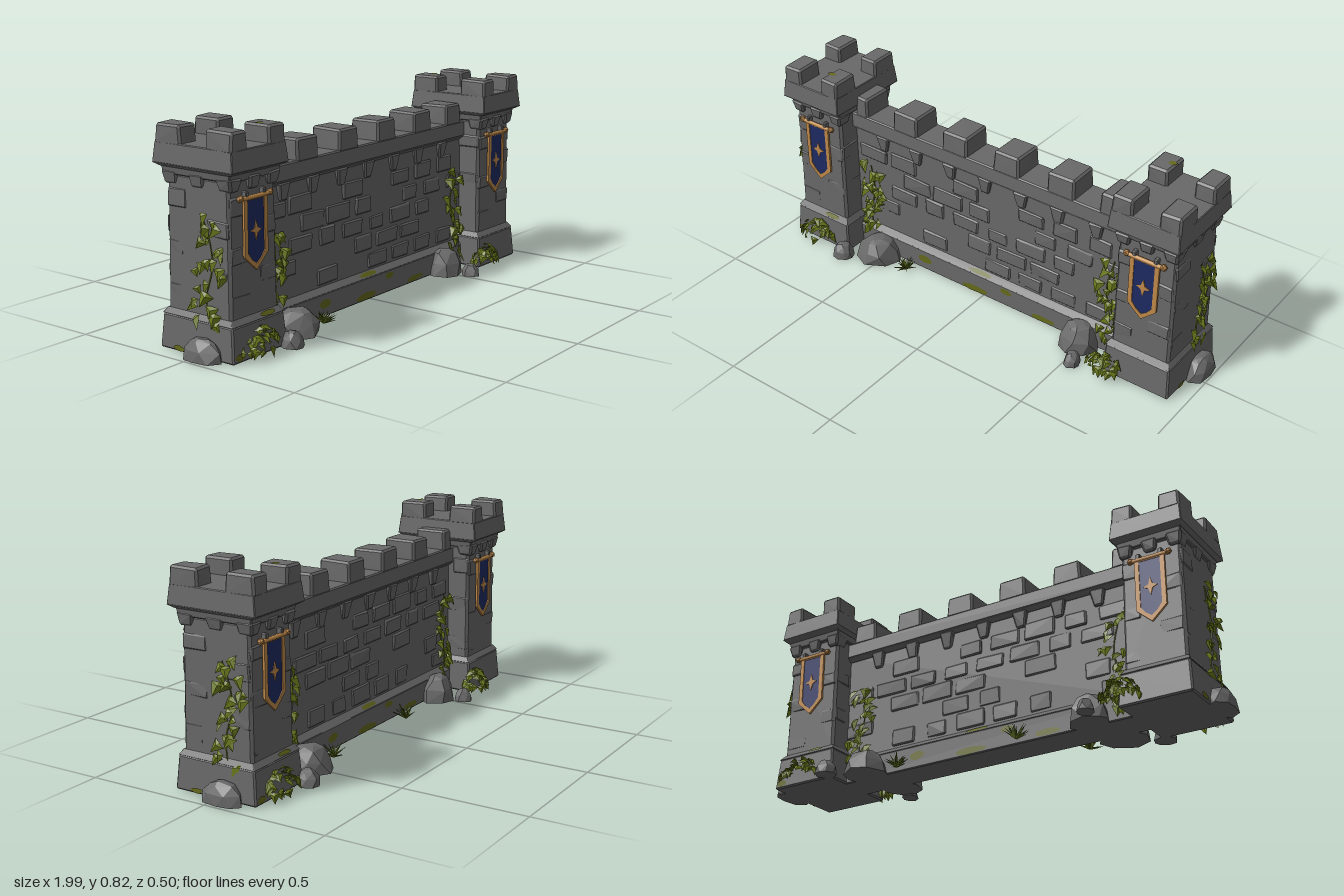
import * as THREE from 'three';
import { mergeGeometries } from 'three/addons/utils/BufferGeometryUtils.js';
import { ConvexGeometry } from 'three/addons/geometries/ConvexGeometry.js';

const V = (x, y, z) => new THREE.Vector3(x, y, z);

export function createModel() {
  let seed = 7;
  const rnd = (a = 0, b = 1) => {
    seed = (seed * 16807) % 2147483647;
    return a + (b - a) * (seed / 2147483647);
  };
  const paint = (name, color, side = THREE.FrontSide) => {
    const m = new THREE.MeshStandardMaterial({ color, side });
    m.name = name;
    return m;
  };
  const stone = paint('stone grey', 0x696969);
  const ivyGreen = paint('ivy green', 0x6b7a1c, THREE.DoubleSide);
  const grassGreen = paint('grass green', 0x56661a, THREE.DoubleSide);
  const mossGreen = paint('moss green', 0x666a1c, THREE.DoubleSide);
  const navy = paint('banner navy', 0x1f2b63);
  const gold = paint('banner gold', 0xc08a4a);

  const add = (parent, name, geo, mat, x = 0, y = 0, z = 0) => {
    const m = new THREE.Mesh(geo, mat);
    m.name = name;
    m.position.set(x, y, z);
    parent.add(m);
    return m;
  };

  // Chiselled stone: bevelled box standing on y = 0, with top size (tw, td) and slight wobble
  const block = (w, h, d, { tw = w, td = d, bevel = 0.008, wobble = 0 } = {}) => {
    const pts = [];
    for (const sx of [-1, 1]) for (const sz of [-1, 1]) for (const top of [0, 1]) {
      const x = sx * (top ? tw : w) / 2, z = sz * (top ? td : d) / 2;
      const j = () => rnd(-wobble, wobble);
      const y = top ? h + j() : 0, dy = top ? -bevel : bevel, jx = j(), jz = j();
      pts.push(V(x - sx * bevel + jx, y, z - sz * bevel + jz),
        V(x + jx, y + dy, z - sz * bevel + jz),
        V(x - sx * bevel + jx, y + dy, z + jz));
    }
    return new ConvexGeometry(pts);
  };

  // Faceted boulder, flat on the ground
  const rock = (rx, h, rz) => {
    const pts = [];
    for (const [y, s, n] of [[0, 1, 8], [0.5, 0.9, 7], [0.88, 0.6, 6], [1, 0.35, 4]])
      for (let i = 0; i < n; i++) {
        const a = (i + rnd(-0.25, 0.25)) / n * Math.PI * 2, k = s * rnd(0.88, 1.04);
        pts.push(V(Math.cos(a) * rx * k, y ? y * h * rnd(0.94, 1.02) : 0, Math.sin(a) * rz * k));
      }
    return new ConvexGeometry(pts);
  };

  // Folded leaf hanging from its stem, facing +z
  const leaf = () => {
    const A = [0, 0.4, 0], L = [-0.5, 0.3, -0.12], R = [0.5, 0.3, -0.12], T = [0, -0.65, 0], C = [0, 0.1, 0.16];
    const g = new THREE.BufferGeometry();
    g.setAttribute('position', new THREE.Float32BufferAttribute([A, L, C, L, T, C, T, R, C, R, A, C].flat(), 3));
    g.computeVertexNormals();
    return g;
  };
  const placed = (geo, x, y, z, rx, ry, rz, sx, sy = sx) => geo.applyMatrix4(new THREE.Matrix4().compose(
    V(x, y, z), new THREE.Quaternion().setFromEuler(new THREE.Euler(rx, ry, rz, 'YXZ')), V(sx, sy, sx)));

  // Climbing ivy in a local frame: wall plane z = 0, leaves spread along a stem
  const ivy = (parent, name, stem, count, spread) => {
    const g = new THREE.Group();
    g.name = name;
    const curve = new THREE.CatmullRomCurve3(stem.map(([x, y]) => V(x, y, 0.004)));
    const leaves = [];
    for (let i = 0; i < count; i++) {
      const p = curve.getPoint((i + rnd()) / count);
      leaves.push(placed(leaf(), p.x + rnd(-spread, spread), Math.max(0.04, p.y + rnd(-0.01, 0.02)), rnd(0.01, 0.025),
        rnd(-0.6, 0), rnd(-0.6, 0.6), rnd(-0.7, 0.7), rnd(0.032, 0.056)));
    }
    add(g, 'ivyLeaves', mergeGeometries(leaves), ivyGreen);
    add(g, 'ivyStem', new THREE.TubeGeometry(curve, 14, 0.003, 4), ivyGreen);
    parent.add(g);
    return g;
  };

  // Leafy mound at a tower foot
  const bush = (parent, x, z, rx, h, rz) => {
    const leaves = [];
    for (let i = 0; i < 38; i++) {
      const a = rnd(0, Math.PI * 2), e = rnd(0.1, 1.4), c = Math.cos(e);
      leaves.push(placed(leaf(), Math.sin(a) * c * rx, 0.02 + Math.sin(e) * h * rnd(0.4, 0.9), Math.cos(a) * c * rz,
        -e * 0.8, a + rnd(-0.5, 0.5), rnd(-0.6, 0.6), rnd(0.026, 0.045)));
    }
    add(parent, 'bush', mergeGeometries(leaves), ivyGreen, x, 0, z);
  };

  // Tuft of bent blades
  const grass = (parent, x, z) => {
    const blades = [];
    for (let i = 0; i < 20; i++) {
      const a = i * 2.4, tilt = rnd(0.4, 1.3), len = rnd(0.045, 0.07);
      const b = new THREE.ConeGeometry(0.006, len, 3).toNonIndexed().translate(0, len / 2, 0);
      blades.push(placed(b, 0, 0.003, 0, tilt, a, 0, 1));
    }
    const g = mergeGeometries(blades);
    g.computeVertexNormals();
    add(parent, 'grassTuft', g, grassGreen, x, 0, z);
  };

  // Thin ragged moss patch facing +z
  const moss = (parent, x, y, z, w, h) => {
    const pts = [];
    for (let i = 0; i < 10; i++) {
      const a = i / 10 * Math.PI * 2, k = rnd(0.7, 1);
      pts.push(new THREE.Vector2(Math.cos(a) * w / 2 * k, Math.sin(a) * h / 2 * k));
    }
    return add(parent, 'mossPatch', new THREE.ShapeGeometry(new THREE.Shape(pts)), mossGreen, x, y, z);
  };

  // Swallow-pointed banner outline
  const pennant = (w, top, mid, tip) => new THREE.Shape([[-w, top], [-w, mid], [-w * 0.55, mid - 0.025], [0, tip],
    [w * 0.55, mid - 0.025], [w, mid], [w, top]].map(p => new THREE.Vector2(...p)));
  const plate = (shape, depth) => new THREE.ExtrudeGeometry(shape, { depth, bevelEnabled: false });

  const banner = (parent, side) => {
    const g = new THREE.Group();
    g.name = 'banner';
    const rod = add(g, 'bannerRod', new THREE.CylinderGeometry(0.008, 0.008, 0.15, 8), gold, 0, 0.572, 0.012);
    rod.rotation.z = Math.PI / 2;
    for (const s of [-1, 1]) {
      add(g, 'rodKnob', new THREE.IcosahedronGeometry(0.014, 0), gold, s * 0.077, 0.574, 0.012);
      add(g, 'rodBracket', block(0.016, 0.025, 0.022, { bevel: 0.003 }), stone, s * 0.045, 0.572, 0.006);
    }
    const frame = pennant(0.061, 0.566, 0.365, 0.31);
    frame.holes.push(new THREE.Path(pennant(0.043, 0.57 - 0.008, 0.375, 0.333).getPoints().reverse()));
    add(g, 'bannerCloth', plate(pennant(0.058, 0.564, 0.367, 0.315), 0.006), navy, 0, 0, 0.006);
    add(g, 'bannerTrim', plate(frame, 0.009), gold, 0, 0, 0.006);
    // Four-pointed emblem
    const star = new THREE.Shape();
    for (let i = 0; i < 8; i++) {
      const a = i * Math.PI / 4, r = i % 2 ? 0.012 : (i % 4 ? 0.036 : 0.028);
      star[i ? 'lineTo' : 'moveTo'](Math.cos(a) * r, Math.sin(a) * r);
    }
    add(g, 'bannerEmblem', plate(star, 0.003), gold, 0, 0.452, 0.012);
    g.position.z = side * 0.147;
    g.rotation.y = side > 0 ? 0 : Math.PI;
    parent.add(g);
  };

  const tower = (parent, x) => {
    const g = new THREE.Group();
    g.name = 'tower';
    g.position.x = x;
    add(g, 'towerFoot', block(0.292, 0.13, 0.352, { tw: 0.276, td: 0.332, bevel: 0.006 }), stone);
    add(g, 'towerFootSlope', block(0.276, 0.022, 0.332, { tw: 0.254, td: 0.304, bevel: 0.002 }), stone, 0, 0.128);
    add(g, 'towerShaft', block(0.25, 0.5, 0.3, { tw: 0.24, td: 0.288, bevel: 0.01 }), stone, 0, 0.14);
    add(g, 'towerCornice', block(0.258, 0.05, 0.315, { tw: 0.272, td: 0.332, bevel: 0.004 }), stone, 0, 0.635);
    // Corbels at the corners and mid-sides
    for (const [cx, cz] of [[1, 1], [1, -1], [-1, 1], [-1, -1], [0, 1], [0, -1], [1, 0], [-1, 0]])
      add(g, 'towerCorbel', block(0.05, 0.05, 0.06, { tw: 0.064, td: 0.074, wobble: 0.002 }), stone, cx * 0.1, 0.6, cz * 0.127);
    add(g, 'battlementSkirt', block(0.272, 0.014, 0.334, { tw: 0.296, td: 0.376, bevel: 0.002 }), stone, 0, 0.662);
    add(g, 'battlement', block(0.296, 0.076, 0.376, { tw: 0.284, td: 0.36, bevel: 0.003 }), stone, 0, 0.673);
    for (const sx of [-1, 1]) for (const sz of [-1, 1])
      add(g, 'towerMerlon', block(0.088, 0.075, 0.122, { tw: 0.084, td: 0.118, wobble: 0.002 }), stone, sx * 0.098, 0.738, sz * 0.119);
    // Raised stones on the shaft
    for (let i = 0; i < 5; i++) for (const s of [-1, 1]) {
      const y = 0.17 + i * 0.085, h = rnd(0.05, 0.07), w = rnd(0.06, 0.1);
      add(g, 'shaftStone', block(w, h, 0.012, { bevel: 0.005, wobble: 0.003 }), stone,
        (i % 2 ? 1 : -1) * s * (0.118 - w / 2), y, s * 0.144);
      add(g, 'shaftStone', block(0.012, h, w, { bevel: 0.005, wobble: 0.003 }), stone,
        s * 0.118, y + 0.01, (i % 2 ? 1 : -1) * (0.14 - w / 2));
    }
    banner(g, 1);
    banner(g, -1);
    parent.add(g);
    return g;
  };

  // Everything around one end of the wall; the other end is the same turned half round
  const wallEnd = () => {
    const g = new THREE.Group();
    g.name = 'wallEnd';
    tower(g, -0.79);
    for (const [x, z, rx, h, rz] of [[-0.52, 0.11, 0.1, 0.095, 0.1], [-0.65, 0.2, 0.045, 0.06, 0.047],
      [-0.49, -0.1, 0.085, 0.11, 0.075], [-0.53, -0.205, 0.035, 0.05, 0.04], [-0.95, 0.045, 0.052, 0.08, 0.09]])
      add(g, 'boulder', rock(rx, h, rz), stone, x, 0, z);
    bush(g, -0.8, 0.19, 0.095, 0.1, 0.045);
    bush(g, -0.66, -0.195, 0.08, 0.1, 0.05);
    const outer = ivy(g, 'towerIvy', [[0.05, 0.1], [0.04, 0.22], [0.07, 0.33], [0.06, 0.42], [0.03, 0.5]], 26, 0.06);
    outer.position.set(-0.914, 0, 0);
    outer.rotation.y = -Math.PI / 2;
    ivy(g, 'wallIvy', [[-0.59, 0.08], [-0.6, 0.18], [-0.575, 0.28], [-0.59, 0.4]], 28, 0.05).position.z = 0.058;
    const rear = ivy(g, 'wallIvy', [[0.6, 0.03], [0.62, 0.15], [0.58, 0.27], [0.61, 0.43]], 28, 0.05);
    rear.position.z = -0.058;
    rear.rotation.y = Math.PI;
    moss(g, -0.74, 0.142, 0.163, 0.09, 0.022).rotation.x = -0.57;
    moss(g, -0.9, 0.02, 0.177, 0.06, 0.03);
    const sideMoss = moss(g, -0.939, 0.014, -0.08, 0.06, 0.024);
    sideMoss.rotation.y = -Math.PI / 2;
    const topMoss = moss(g, -0.72, 0.815, 0.12, 0.04, 0.03);
    topMoss.rotation.x = -Math.PI / 2;
    return g;
  };

  const model = new THREE.Group();
  model.name = 'castleWall';
  model.add(wallEnd());
  const far = wallEnd();
  far.rotation.y = Math.PI;
  model.add(far);

  // Curtain wall
  add(model, 'wallCore', block(1.36, 0.5, 0.108, { td: 0.1, bevel: 0.004 }), stone, 0, 0.08);
  add(model, 'wallPlinth', block(1.36, 0.092, 0.15, { bevel: 0.004 }), stone);
  add(model, 'wallPlinthSlope', block(1.36, 0.024, 0.15, { td: 0.11, bevel: 0.002 }), stone, 0, 0.09);
  add(model, 'parapetSkirt', block(1.36, 0.016, 0.11, { td: 0.142, bevel: 0.002 }), stone, 0, 0.552);
  add(model, 'parapet', block(1.36, 0.066, 0.144, { td: 0.138, bevel: 0.005 }), stone, 0, 0.566);
  for (const [x, w] of [[-0.62, 0.065], [-0.39, 0.124], [-0.14, 0.124], [0.108, 0.124], [0.36, 0.124], [0.588, 0.112]])
    add(model, 'wallMerlon', block(w, 0.09, 0.14, { tw: w - 0.006, td: 0.134, wobble: 0.002 }), stone, x, 0.622);

  for (const s of [-1, 1]) {
    // Corbels under the parapet
    for (let i = 0; i < 7; i++)
      add(model, 'wallCorbel', block(0.04, 0.07, 0.02, { tw: 0.064, td: 0.036, bevel: 0.006, wobble: 0.002 }), stone,
        -0.52 + i * 0.173, 0.492, s * 0.05);
    // Scattered raised stones in staggered courses
    for (let r = 0; r < 5; r++) for (let c = 0; c < 8; c++) {
      if (rnd() < 0.35) continue;
      const w = rnd(0.09, 0.15), h = rnd(0.055, 0.072);
      add(model, 'wallStone', block(w, h, 0.014, { bevel: 0.005, wobble: 0.003 }), stone,
        -0.58 + c * 0.16 + (r % 2) * 0.07, 0.122 + r * 0.077, s * 0.0515);
    }
    // Moss on the plinth
    for (const [x, y, w, h] of [[-0.04, 0.018, 0.16, 0.034], [-0.3, 0.05, 0.08, 0.04], [0.3, 0.02, 0.14, 0.03], [0.12, 0.07, 0.07, 0.03]]) {
      const m = moss(model, s * x, y, s * 0.0765, w, h);
      m.rotation.y = s > 0 ? 0 : Math.PI;
    }
    const ledge = moss(model, s * -0.02, 0.103, s * 0.0675, 0.13, 0.024);
    ledge.rotation.set(-s * 0.7, s > 0 ? 0 : Math.PI, 0);
  }

  for (const [x, z] of [[-0.37, 0.12], [0.36, -0.12], [-0.19, -0.12]]) grass(model, x, z);
  return model;
}
